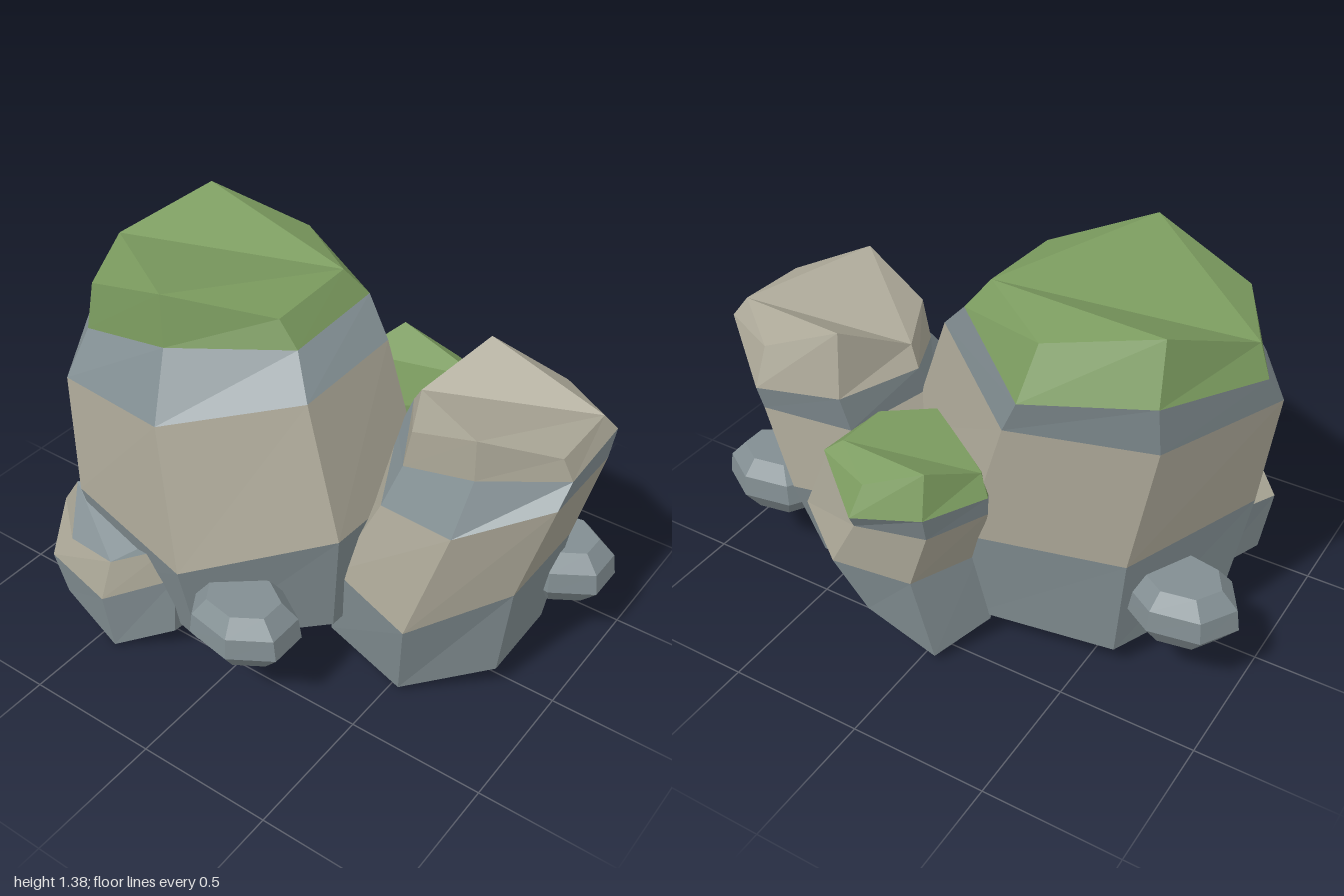
import * as THREE from 'three';

const SIDES = 7;
// Triangles closing a seven-sided ring: three outer ears, then the middle
const LID = [[0, 1, 2], [2, 3, 4], [4, 5, 6], [0, 2, 4], [0, 4, 6]];

const mat = (name, color) => {
  const m = new THREE.MeshStandardMaterial({ color, flatShading: true });
  m.name = name;
  return m;
};

// A ring is [centreX, centreZ, radiusX, radiusZ, heights]; corners run left, front, right, back.
function ringPoints([cx, cz, rx, rz, heights]) {
  return Array.from({ length: SIDES }, (_, k) => {
    const a = Math.PI - (k * 2 * Math.PI) / SIDES;
    const y = Array.isArray(heights) ? heights[k] : heights;
    return new THREE.Vector3(cx + rx * Math.cos(a), y, cz + rz * Math.sin(a));
  });
}

function facetMesh(name, points, material) {
  const geometry = new THREE.BufferGeometry().setFromPoints(points);
  geometry.computeVertexNormals();
  const mesh = new THREE.Mesh(geometry, material);
  mesh.name = name;
  return mesh;
}

// Facets between two rings
function band(lower, upper) {
  const pts = [];
  for (let k = 0; k < SIDES; k++) {
    const n = (k + 1) % SIDES;
    pts.push(lower[k], lower[n], upper[n], lower[k], upper[n], upper[k]);
  }
  return pts;
}

// Faceted lid closing a ring, upwards or downwards
function lid(ring, up) {
  return LID.flatMap(([a, b, c]) => (up ? [ring[a], ring[b], ring[c]] : [ring[a], ring[c], ring[b]]));
}

// Stacked rings, bottom to top, with one material for each band
function rock(name, rings, materials, topMaterial) {
  const group = new THREE.Group();
  group.name = name;
  const loops = rings.map(ringPoints);
  group.add(facetMesh('underside', lid(loops[0], false), materials[0]));
  materials.forEach((m, i) =>
    group.add(facetMesh('layer' + (i + 1), band(loops[i], loops[i + 1]), m)));
  group.add(facetMesh('top', lid(loops[loops.length - 1], true), topMaterial));
  return group;
}

export function createModel() {
  const grey = mat('greyStone', 0x828e92);
  const beige = mat('beigeStone', 0xaaa696);
  const moss = mat('moss', 0x7a9a5e);
  const model = new THREE.Group();
  model.name = 'rockCluster';

  // Tall moss-topped boulder
  model.add(rock('mainBoulder', [
    [-0.245, 0.08, 0.575, 0.51, [0.15, 0.12, 0.11, 0.19, 0.16, 0.12, 0.1]],
    [-0.25, 0.1, 0.645, 0.585, [0.59, 0.53, 0.49, 0.63, 0.6, 0.5, 0.52]],
    [-0.37, 0.065, 0.59, 0.53, [1.04, 0.93, 0.99, 1.08, 1.09, 0.97, 1.0]],
    [-0.415, -0.01, 0.515, 0.47, [1.15, 1.07, 1.2, 1.19, 1.21, 1.1, 1.18]],
    [-0.428, 0.02, 0.452, 0.41, [1.25, 1.25, 1.375, 1.285, 1.305, 1.28, 1.375]],
  ], [grey, beige, grey, moss], moss));

  // Bare boulder on the +x side
  model.add(rock('sideBoulder', [
    [0.45, -0.08, 0.4, 0.37, [0.07, 0.06, 0.02, 0.11, 0.12, 0.14, 0.025]],
    [0.5, -0.085, 0.4, 0.445, [0.45, 0.4, 0.36, 0.5, 0.5, 0.46, 0.45]],
    [0.618, -0.115, 0.372, 0.395, [0.78, 0.71, 0.77, 0.865, 0.87, 0.75, 0.72]],
    [0.628, -0.18, 0.362, 0.35, [0.88, 0.82, 0.94, 0.93, 0.96, 0.84, 0.86]],
    [0.63, -0.155, 0.32, 0.315, [0.95, 0.97, 1.085, 1.01, 1.02, 0.98, 1.085]],
  ], [grey, beige, grey, beige], beige));

  // Lower mossy boulder behind
  model.add(rock('backBoulder', [
    [0.12, -0.405, 0.28, 0.256, [0.1, 0.08, 0.06, 0.1, 0.15, 0.18, 0.03]],
    [0.2, -0.435, 0.33, 0.285, [0.4, 0.38, 0.4, 0.44, 0.456, 0.4, 0.38]],
    [0.11, -0.46, 0.3, 0.25, [0.62, 0.6, 0.62, 0.68, 0.715, 0.585, 0.6]],
    [0.1, -0.475, 0.3, 0.27, [0.7, 0.68, 0.68, 0.73, 0.75, 0.645, 0.7]],
    [0.092, -0.45, 0.252, 0.235, [0.77, 0.75, 0.78, 0.78, 0.785, 0.75, 0.845]],
  ], [grey, beige, grey, moss], moss));

  // Small rock in front
  model.add(rock('frontRock', [
    [-0.49, 0.5, 0.3, 0.2, [0.06, 0.1, 0, 0.1, 0.08, 0.06, 0]],
    [-0.505, 0.47, 0.335, 0.26, [0.34, 0.27, 0.24, 0.35, 0.35, 0.3, 0.32]],
    [-0.465, 0.5, 0.265, 0.19, [0.49, 0.37, 0.4, 0.48, 0.5, 0.49, 0.45]],
  ], [grey, beige], grey));

  // Pebbles around the base
  [[0.1, 0.58], [-0.79, -0.21], [0.805, -0.335]].forEach(([x, z], i) => {
    model.add(rock('pebble' + (i + 1), [
      [x, z, 0.14, 0.11, 0.22],
      [x, z, 0.212, 0.165, 0.3],
      [x, z, 0.2, 0.157, 0.38],
      [x, z, 0.14, 0.11, 0.44],
    ], [grey, grey, grey], grey));
  });

  return model;
}
